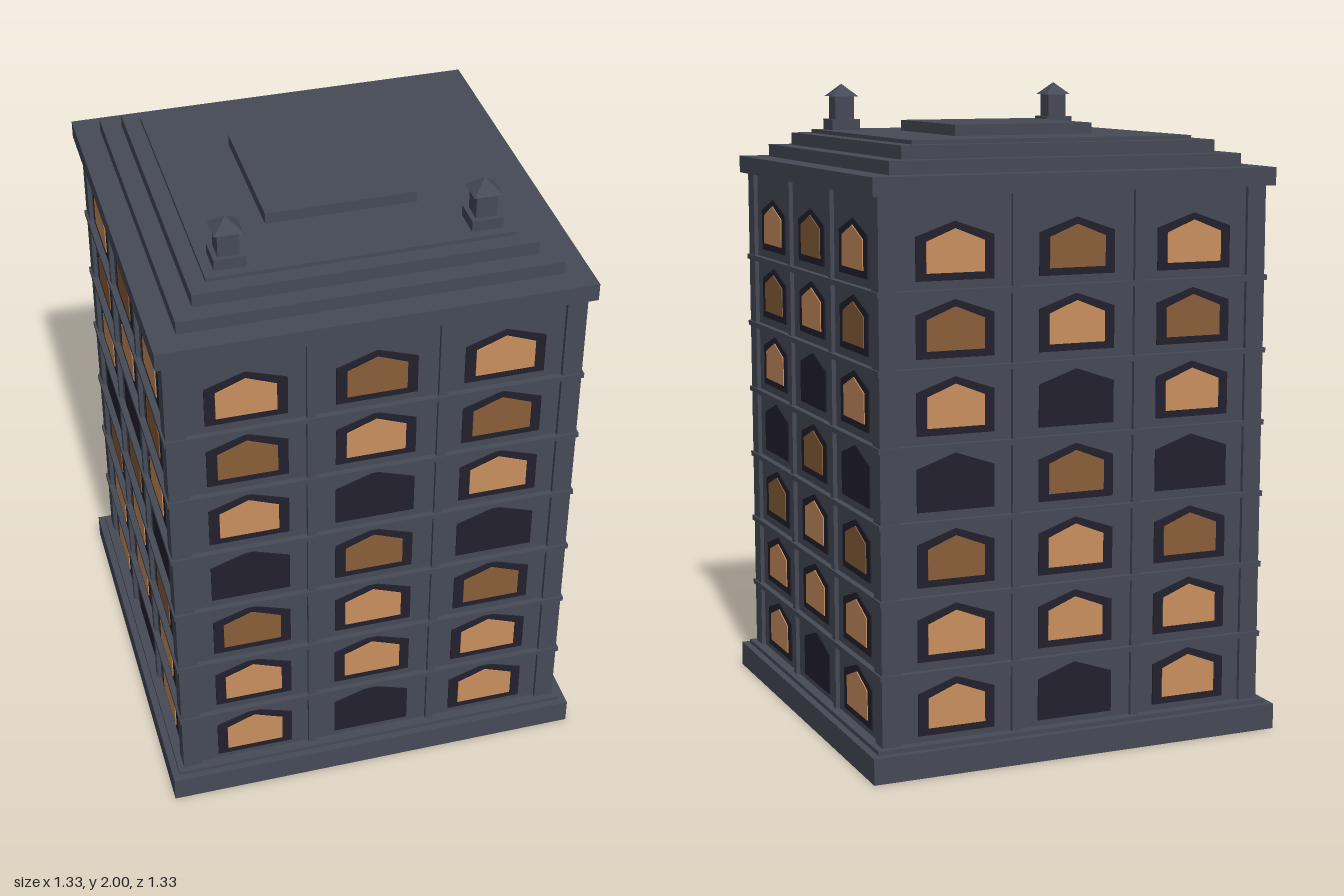
import * as THREE from 'three';

const material = (name, color) => {
  const m = new THREE.MeshStandardMaterial({ color });
  m.name = name;
  return m;
};

export function createModel() {
  const stone = material('slate stone', 0x464a56);
  const dark = material('dark window', 0x22212d);
  const bright = material('bright glow', 0xc98f5e);
  const dim = material('dim glow', 0x8a5f39);

  const model = new THREE.Group();
  model.name = 'towerBlock';

  const add = (parent, name, geometry, mat, x = 0, y = 0, z = 0) => {
    const mesh = new THREE.Mesh(geometry, mat);
    mesh.name = name;
    mesh.position.set(x, y, z);
    parent.add(mesh);
    return mesh;
  };
  // Square slab given by half width and its bottom and top heights
  const slab = (parent, name, half, y0, y1, x = 0, z = 0) =>
    add(parent, name, new THREE.BoxGeometry(half * 2, y1 - y0, half * 2), stone, x, (y0 + y1) / 2, z);

  // Plinth, walls, cornice and stepped roof
  slab(model, 'plinth', 0.667, 0, 0.08);
  slab(model, 'plinthStep', 0.645, 0.08, 0.093);
  slab(model, 'walls', 0.613, 0.093, 1.71);
  slab(model, 'cornice', 0.648, 1.705, 1.76);
  slab(model, 'roofStepLower', 0.57, 1.76, 1.8);
  slab(model, 'roofStepMiddle', 0.51, 1.8, 1.84);
  slab(model, 'roofStepUpper', 0.458, 1.84, 1.852);
  slab(model, 'roofHatch', 0.23, 1.852, 1.886);

  // Ledges between the storeys
  const pitch = 0.2245;
  for (let i = 0; i < 6; i++) {
    const y = 0.303 + i * pitch;
    slab(model, 'storeyLedge', 0.632, y - 0.008, y + 0.008);
  }

  // Corner piers
  for (const x of [-1, 1]) {
    for (const z of [-1, 1]) {
      add(model, 'cornerPier', new THREE.BoxGeometry(0.061, 1.615, 0.061), stone, x * 0.5955, 0.9, z * 0.5955);
    }
  }

  // Window outline with a low pointed head, standing on y = 0
  const windowPlate = (half, shoulder, peak) => {
    const shape = new THREE.Shape([
      [-half, 0], [half, 0], [half, shoulder], [half * 0.45, peak - (peak - shoulder) * 0.45],
      [0, peak], [-half * 0.45, peak - (peak - shoulder) * 0.45], [-half, shoulder],
    ].map(([x, y]) => new THREE.Vector2(x, y)));
    return new THREE.ExtrudeGeometry(shape, { depth: 0.005, bevelEnabled: false });
  };
  const frameGeometry = windowPlate(0.122, 0.128, 0.17);
  const paneGeometry = windowPlate(0.09, 0.091, 0.127);

  // Light in each window from the bottom storey up: side columns, middle column
  const storeys = [
    [bright, null], [bright, bright], [dim, bright], [null, dim],
    [bright, null], [dim, bright], [bright, dim],
  ];

  // Four equal faces, each with two pilasters and three window columns
  for (let side = 0; side < 4; side++) {
    const face = new THREE.Group();
    face.name = 'facade';
    face.rotation.y = side * Math.PI / 2;
    for (const x of [-0.198, 0.198]) {
      add(face, 'pilaster', new THREE.BoxGeometry(0.026, 1.615, 0.02), stone, x, 0.9, 0.616);
    }
    storeys.forEach(([outer, middle], i) => {
      const y = 0.112 + i * pitch;
      [outer, middle, outer].forEach((glow, column) => {
        const x = (column - 1) * 0.387;
        add(face, 'windowFrame', frameGeometry, dark, x, y, 0.612);
        if (glow) add(face, 'windowPane', paneGeometry, glow, x, y + 0.022, 0.615);
      });
    });
    model.add(face);
  }

  // Two chimneys along the front of the roof
  for (const x of [-0.38, 0.38]) {
    const chimney = new THREE.Group();
    chimney.name = 'chimney';
    chimney.position.set(x, 0, 0.38);
    slab(chimney, 'chimneyBase', 0.047, 1.85, 1.886);
    slab(chimney, 'chimneyShaft', 0.032, 1.886, 1.962);
    const cap = new THREE.ConeGeometry(0.043 * Math.SQRT2, 0.04, 4, 1).toNonIndexed();
    cap.rotateY(Math.PI / 4);
    cap.computeVertexNormals();
    add(chimney, 'chimneyCap', cap, stone, 0, 1.98, 0);
    model.add(chimney);
  }

  return model;
}
